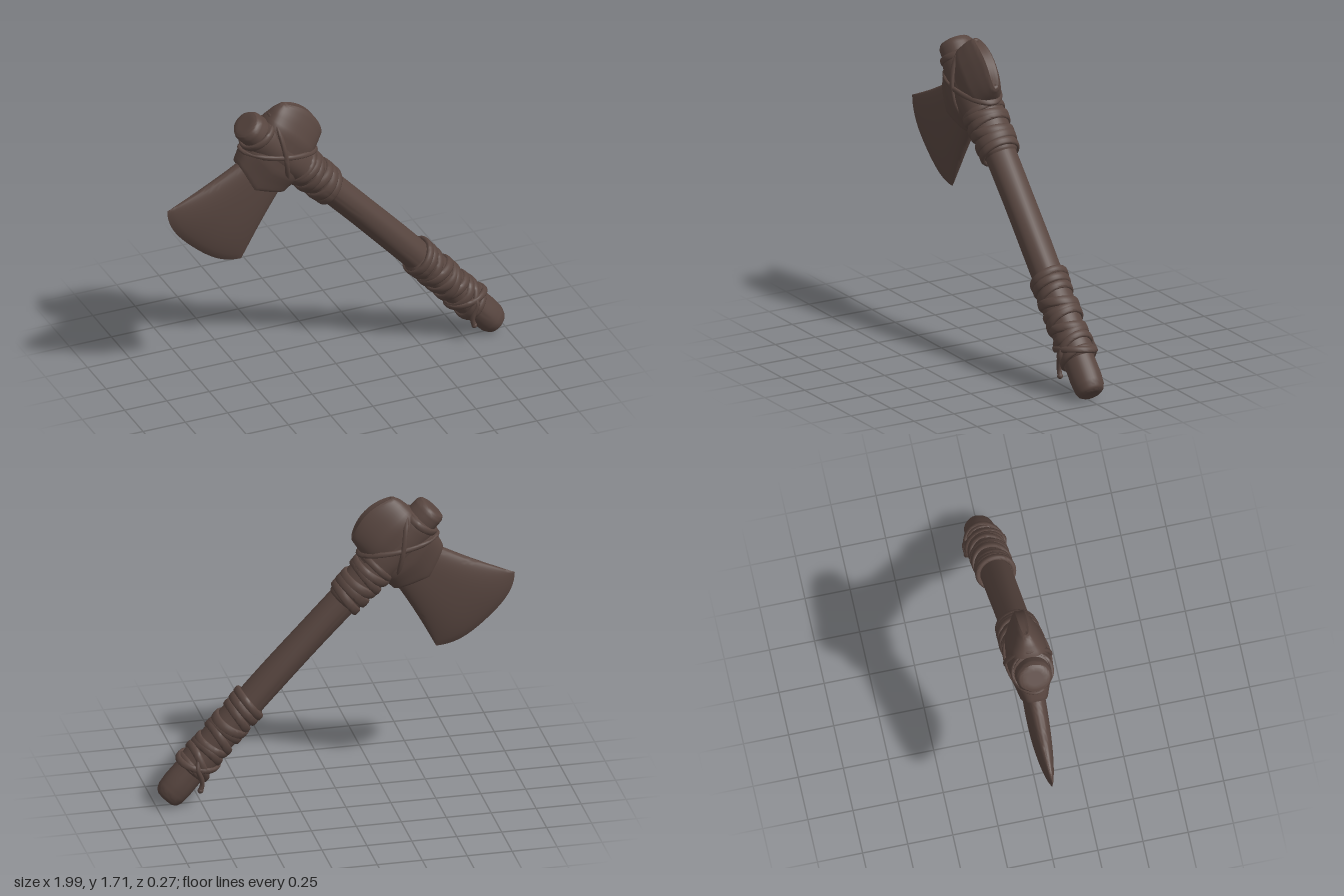
import * as THREE from 'three';
import { mergeVertices, toCreasedNormals } from 'three/addons/utils/BufferGeometryUtils.js';
import { ParametricGeometry } from 'three/addons/geometries/ParametricGeometry.js';

const LENGTH = 2.176;
const TAU = Math.PI * 2;
const lerp = THREE.MathUtils.lerp;
// slight bow of the haft towards the poll side
const bend = (s) => 0.024 * Math.sin(Math.PI * THREE.MathUtils.clamp(s / LENGTH, 0, 1));
// rounded-square cosine / sine
const soft = (c, p) => Math.sign(c) * Math.pow(Math.abs(c), p);

// piecewise linear lookup in [position, value, ...] rows, t in 0..1 over the row index
function along(rows, t) {
  const f = t * (rows.length - 1);
  const i = Math.min(Math.floor(f), rows.length - 2);
  return rows[i].map((a, k) => lerp(a, rows[i + 1][k], f - i));
}

export function createModel() {
  const material = new THREE.MeshStandardMaterial({ color: 0x57453f });
  material.name = 'darkBrown';
  const model = new THREE.Group();
  model.name = 'hatchet';

  // local frame: y runs up the haft, -x is the blade side
  const axe = new THREE.Group();
  axe.name = 'tiltedHatchet';
  axe.position.set(0.945, 0.05, 0);
  axe.rotation.z = 0.752;
  model.add(axe);

  const add = (name, geometry) => {
    const mesh = new THREE.Mesh(geometry, material);
    mesh.name = name;
    axe.add(mesh);
    return mesh;
  };

  // surface swept by rule(angle, v) -> [x, y, z], with welded seams and kept edges
  function loft(name, rule, around, rows, crease = 0.75) {
    let g = new ParametricGeometry((u, v, p) => p.set(...rule((u % 1) * TAU, v)), around, rows);
    g.deleteAttribute('uv');
    g.deleteAttribute('normal');
    g = mergeVertices(g, 1e-5);
    return add(name, toCreasedNormals(g, crease));
  }

  // round part on the haft from [height, radiusX, radiusZ] rows
  function roundPart(name, profile, lump, perRow) {
    loft(name, (a, v) => {
      const [s, rx, rz] = along(profile, v);
      const k = 1 + lump * Math.sin(3 * a + s * 4) + lump * 0.6 * Math.sin(7 * a - s * 3);
      return [bend(s) + rx * k * Math.cos(a), s, -rz * k * Math.sin(a)];
    }, 40, (profile.length - 1) * perRow);
  }

  // flat strap wound once round the haft, tilted towards angle dir
  function band(name, s0, rx, rz, width, tilt, dir = 0, thick = 0.014) {
    loft(name, (a, v) => {
      const w = (v % 1) * TAU;
      const s = s0 + tilt * Math.cos(a - dir);
      const t = thick * soft(Math.cos(w), 0.7);
      return [
        bend(s0) + (rx + t) * Math.cos(a),
        s + (width / 2) * soft(Math.sin(w), 0.7),
        -(rz + t) * Math.sin(a),
      ];
    }, 48, 12, 0.9);
  }

  // haft with rounded butt and top knob
  roundPart('haft', [
    [0, 0, 0], [0, 0.055, 0.055], [0.012, 0.072, 0.072], [0.04, 0.083, 0.083],
    [0.1, 0.088, 0.088], [0.25, 0.085, 0.085], [0.6, 0.083, 0.085], [0.9, 0.084, 0.087],
    [1.2, 0.083, 0.086], [1.5, 0.085, 0.087], [1.95, 0.085, 0.09], [2.1, 0.09, 0.1],
    [2.15, 0.088, 0.098], [2.17, 0.078, 0.085], [2.176, 0.06, 0.065], [2.176, 0, 0],
  ], 0.014, 3);

  // grip wrapping
  roundPart('gripSleeve', [
    [0.2, 0.08, 0.08], [0.215, 0.094, 0.096], [0.3, 0.096, 0.1], [0.38, 0.09, 0.094],
    [0.5, 0.092, 0.098], [0.6, 0.09, 0.096], [0.7, 0.095, 0.098], [0.72, 0.08, 0.08],
  ], 0.012, 4);
  const gripBands = [
    // height, radius, width, tilt, direction
    [0.225, 0.091, 0.04, 0.018, 0.5], [0.27, 0.096, 0.045, 0.05, 0.2], [0.275, 0.098, 0.04, -0.055, 0.3],
    [0.345, 0.09, 0.05, 0.02, 1.2], [0.395, 0.089, 0.05, -0.02, 0.4], [0.445, 0.093, 0.05, 0.03, 0.3],
    [0.495, 0.091, 0.05, 0.015, 2], [0.545, 0.093, 0.055, -0.025, 0.6], [0.6, 0.089, 0.05, 0.025, 0.2],
    [0.655, 0.092, 0.05, 0.015, 0], [0.695, 0.095, 0.045, 0.018, 0.2],
  ];
  for (const [s, r, w, tilt, dir] of gripBands) band('gripBand', s, r, r + 0.004, w, tilt, dir);

  // loose tie ends on both sides of the grip
  for (const side of [1, -1]) {
    const path = new THREE.CatmullRomCurve3([
      [0.05, 0.29, 0.09], [0.02, 0.25, 0.108], [-0.03, 0.225, 0.105], [-0.06, 0.2, 0.1], [-0.075, 0.17, 0.1],
    ].map(([x, y, z]) => new THREE.Vector3(x, y, z * side)));
    add('tieEnd', new THREE.TubeGeometry(path, 20, 0.014, 8));
    const tip = add('tieTip', new THREE.SphereGeometry(0.016, 12, 8));
    tip.position.set(-0.075, 0.17, 0.1 * side);
  }

  // collar wrapping under the head
  roundPart('collarSleeve', [
    [1.45, 0.08, 0.08], [1.47, 0.092, 0.098], [1.6, 0.1, 0.108], [1.72, 0.108, 0.114], [1.78, 0.1, 0.1],
  ], 0.01, 4);
  const collarBands = [
    [1.487, 0.094, 0.05, 0.02, 0], [1.54, 0.098, 0.06, 0.012, 0.6], [1.595, 0.099, 0.055, -0.018, 0.3],
    [1.645, 0.102, 0.05, 0.02, 0.2], [1.69, 0.104, 0.05, -0.015, 0.5], [1.725, 0.102, 0.04, 0.012, 1],
  ];
  for (const [s, r, w, tilt, dir] of collarBands) band('collarBand', s, r, r + 0.009, w, tilt, dir);

  // stone blade, flaring to a curved thin edge
  loft('blade', (a, v) => {
    const c = soft(Math.cos(a), 0.85);
    const edge = -0.61 - 0.055 * (1 - c ** 4) - 0.035 * (1 - c * c) - 0.025 * c;
    const x = lerp(-0.05, edge, v);
    const top = lerp(1.992, 2.165, v) - 0.012 * Math.sin(Math.PI * v);
    const low = lerp(1.738, 1.578, v) + 0.01 * Math.sin(Math.PI * v);
    const z = 0.06 * Math.pow(1 - v ** 4, 0.7);
    return [x, lerp(low, top, (c + 1) / 2), -z * soft(Math.sin(a), 0.75)];
  }, 56, 28);

  // poll: wedge narrowing to a blunt curved ridge
  const pollRows = [
    // reach, bottom, top, half thickness
    [0, 1.73, 2.08, 0.116], [0.45, 1.728, 2.095, 0.106], [0.75, 1.742, 2.095, 0.068],
    [0.95, 1.755, 2.085, 0.038], [1, 1.765, 2.075, 0.026], [1, 1.78, 2.06, 0],
  ];
  loft('poll', (a, v) => {
    const [reach, low, top, z] = along(pollRows, v);
    const c = soft(Math.cos(a), 0.8);
    const x = reach * (0.222 + 0.045 * (1 - c * c) + 0.006 * (1 - c));
    return [x, lerp(low, top, (c + 1) / 2), z * soft(Math.sin(a), 0.65)];
  }, 48, 20);

  // hide wrapped round the head
  roundPart('headWrap', [
    [1.69, 0.09, 0.09], [1.71, 0.108, 0.112], [1.8, 0.118, 0.119], [1.95, 0.12, 0.119],
    [2.05, 0.114, 0.113], [2.085, 0.104, 0.106], [2.095, 0.085, 0.085],
  ], 0.008, 4);

  // hide sheath closing over the root of the blade
  const sheathRows = [
    [0, 1.7, 2.085, 0.114], [0.4, 1.695, 2.085, 0.108], [0.7, 1.694, 2.07, 0.088],
    [0.95, 1.692, 2.052, 0.074], [1, 1.698, 2.046, 0.068], [1, 1.72, 2.03, 0.03],
  ];
  loft('bladeSheath', (a, v) => {
    const [reach, low, top, z] = along(sheathRows, v);
    const c = soft(Math.cos(a), 0.75);
    const x = -reach * (0.172 + 0.068 * (1 - Math.abs(c)) + 0.02 * c);
    return [x, lerp(low, top, (c + 1) / 2), -z * soft(Math.sin(a), 0.55)];
  }, 48, 20);

  // crossed lashings over the head
  band('lashing', 1.9, 0.132, 0.12, 0.045, -0.17, 0, 0.012);
  band('lashing', 1.905, 0.115, 0.124, 0.045, 0.17, 0, 0.012);
  band('upperLashing', 2.07, 0.1, 0.106, 0.04, -0.012, 0.4, 0.012);

  return model;
}
